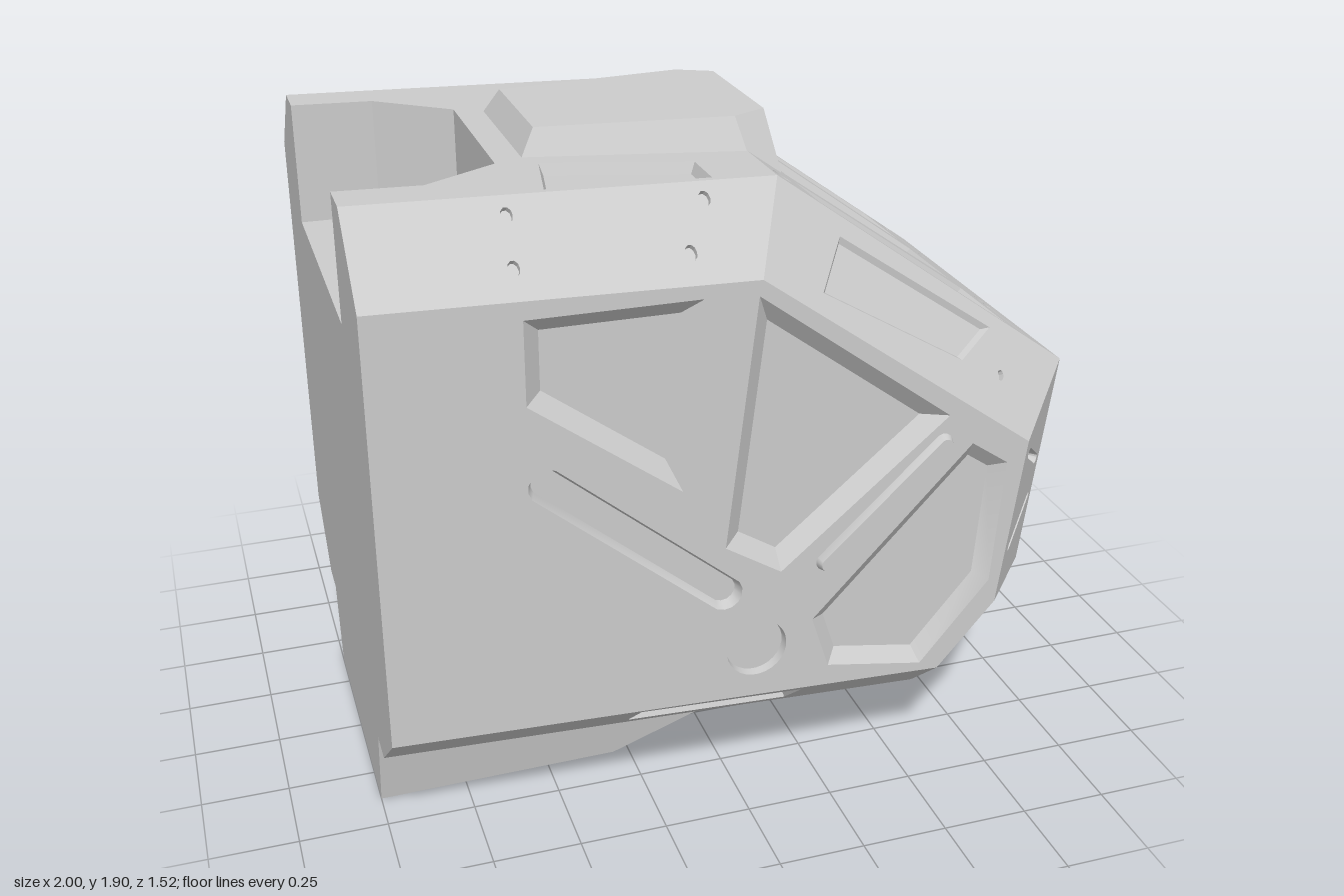
import * as THREE from 'three';
import { toCreasedNormals } from 'three/addons/utils/BufferGeometryUtils.js';

const V = (x, y, z) => new THREE.Vector3(x, y, z);
const material = new THREE.MeshStandardMaterial({ color: 0xcccccc });
const CENTRE = V(0, 1, 0);
const ccw = (p) => (THREE.ShapeUtils.area(p) < 0 ? p.slice().reverse() : p);

// Move every edge of a polygon to its left by d (a number, or one per edge)
function offset(poly, d) {
  const n = poly.length;
  const line = (i) => {
    const a = poly[i], dir = poly[(i + 1) % n].clone().sub(a).normalize();
    const k = Array.isArray(d) ? d[i] : d;
    return { o: new THREE.Vector2(a.x - dir.y * k, a.y + dir.x * k), dir };
  };
  return poly.map((_, i) => {
    const a = line((i + n - 1) % n), b = line(i);
    const c = a.dir.cross(b.dir);
    if (Math.abs(c) < 1e-4) return b.o;
    return a.o.clone().addScaledVector(a.dir, b.o.clone().sub(a.o).cross(b.dir) / c);
  });
}

// A recess (or a raised pad, when depth < 0), outlined in two world axes
const recess = (axes, pts, depth = 0.03, inset = 0.02) => ({ axes, pts, depth, inset });
const flipZ = (r) => ({ ...r, pts: r.pts.map((p) => p.map((c, i) => (r.axes[i] === 'z' ? -c : c))) });
const both = (list) => list.flatMap((r) => [r, flipZ(r)]);
const rect = (a, b, c, d) => [[a, b], [c, b], [c, d], [a, d]];

// Round-ended slot; a single point gives a circle
function slot(x1, y1, x2, y2, r, n = 7) {
  const t = Math.atan2(y2 - y1, x2 - x1), pts = [];
  [[x2, y2, t], [x1, y1, t + Math.PI]].forEach(([x, y, q]) => {
    for (let i = 0; i < n; i++) {
      const a = q - Math.PI / 2 + (Math.PI * (i + 0.5)) / n;
      pts.push([x + r * Math.cos(a), y + r * Math.sin(a)]);
    }
  });
  return pts;
}
const rivet = (axes, x, y, r = 0.016) => recess(axes, slot(x, y, x, y, r, 5), 0.015, 0.001);

// Flat plate through 3D corners, with sloped-wall recesses cut into it
function plate(group, name, corners, recesses = []) {
  const o = corners[0], n = V(0, 0, 0), mid = V(0, 0, 0);
  corners.forEach((p, i) => {
    const q = corners[(i + 1) % corners.length];
    n.add(p.clone().sub(o).cross(q.clone().sub(o)));
    mid.addScaledVector(p, 1 / corners.length);
  });
  n.normalize();
  if (n.dot(mid.sub(CENTRE)) < 0) n.negate();
  const u = corners[1].clone().sub(o).normalize();
  const v = n.clone().cross(u);
  const to2 = (p) => new THREE.Vector2(p.clone().sub(o).dot(u), p.clone().sub(o).dot(v));
  const to3 = (p, h) => o.clone().addScaledVector(u, p.x).addScaledVector(v, p.y).addScaledVector(n, h);
  const pos = [];
  const tri = (...ps) => ps.forEach((p) => pos.push(p.x, p.y, p.z));
  const fill = (outline, holes, h) => {
    const all = [outline, ...holes].flat().map((p) => to3(p, h));
    THREE.ShapeUtils.triangulateShape(outline, holes).forEach((f) => tri(...f.map((i) => all[i])));
  };
  const holes = recesses.map((r) => ccw(r.pts.map((c) => {
    const p = V(0, 0, 0);
    p[r.axes[0]] = c[0];
    p[r.axes[1]] = c[1];
    const k = ['x', 'y', 'z'].find((a) => !r.axes.includes(a));
    p[k] = n.dot(o.clone().sub(p)) / n[k];
    return to2(p);
  })));
  fill(ccw(corners.map(to2)), holes, 0);
  holes.forEach((top, j) => {
    const { depth, inset } = recesses[j], low = offset(top, inset);
    top.forEach((p, i) => {
      const k = (i + 1) % top.length;
      const a = to3(p, 0), b = to3(top[k], 0), c = to3(low[k], -depth), d = to3(low[i], -depth);
      tri(a, b, c);
      tri(a, c, d);
    });
    fill(low, [], -depth);
  });
  const g = new THREE.BufferGeometry();
  g.setAttribute('position', new THREE.Float32BufferAttribute(pos, 3));
  const mesh = new THREE.Mesh(toCreasedNormals(g, 0.5), material);
  mesh.name = name;
  group.add(mesh);
}

export function createModel() {
  const model = new THREE.Group();
  model.name = 'armouredHead';
  const W = 0.53, S = 0.74;

  // Middle outline, and the smaller outline of the flat sides
  const P = [[-1, 1.85], [0.12, 1.82], [1, 1.19], [0.92, 0.55], [0.6, 0.18], [-1, 0.25]]
    .map((p) => new THREE.Vector2(...p));
  const Q = offset(P, [-0.2, -0.225, -0.18, -0.14, -0.18, 0]);
  const at = (p, z) => V(p.x, p.y, z);

  // Cheek plates
  const cheek = [
    recess('xy', [[-0.606, 1.59], [-0.145, 1.59], [-0.2, 1.06], [-0.606, 1.36]], 0.04, 0.045),
    recess('xy', [[0, 1.58], [0.555, 1.17], [0.08, 0.77], [-0.08, 0.87]], 0.04, 0.045),
    recess('xy', slot(-0.56, 1.13, -0.08, 0.73, 0.05), 0.03, 0.012),
    recess('xy', slot(0.21, 0.78, 0.54, 1.09, 0.028), -0.022, 0.008),
    recess('xy', [[0.63, 1.075], [0.74, 1], [0.715, 0.63], [0.515, 0.39], [0.23, 0.44], [0.177, 0.6]], 0.035, 0.04),
    recess('xy', slot(0.015, 0.54, 0.015, 0.54, 0.087, 14), 0.025, 0.004),
  ];
  // Cut-outs of the chamfers, edge by edge
  const chamfer = [
    [[-0.6, 1.8], [-0.61, 1.7], [-0.09, 1.79], [-0.16, 1.69]].map((p) => rivet('xy', ...p)),
    [recess('xy', [[0.19, 1.55], [0.284, 1.65], [0.75, 1.33], [0.62, 1.29]], 0.014, 0.012), rivet('xy', 0.75, 1.22, 0.012)],
    [recess('zy', slot(0.69, 0.99, 0.57, 0.9, 0.014), 0.025, 0.002), recess('zy', slot(0.69, 0.7, 0.57, 0.78, 0.014), 0.025, 0.002)],
    [recess('zy', slot(0.64, 0.47, 0.64, 0.47, 0.062, 14), 0.04, 0.004)],
    [recess('xy', [[-0.31, 0.38], [0.17, 0.345], [0.17, 0.235], [-0.31, 0.26]], 0.035, 0.012)],
  ];
  for (const s of [1, -1]) {
    const side = s > 0 ? 'left' : 'right';
    plate(model, side + 'Cheek', Q.map((p) => at(p, s * S)), cheek);
    chamfer.forEach((cuts, i) => plate(model, side + 'Chamfer' + i,
      [at(P[i], s * W), at(P[i + 1], s * W), at(Q[i + 1], s * S), at(Q[i], s * S)],
      s > 0 ? cuts : cuts.map(flipZ)));
  }

  // Top plate with the rear notch
  const notch = [[-1, 0.41], [-0.77, 0.41], [-0.56, 0.27], [-0.56, -0.27], [-0.77, -0.41], [-1, -0.41]];
  const topY = (x) => 1.85 - (0.03 * (x + 1)) / 1.12, floorY = 1.5;
  plate(model, 'topPlate',
    [[-1, -W], [0.12, -W], [0.12, W], [-1, W], ...notch].map(([x, z]) => V(x, topY(x), z)),
    both([recess('xz', [[-0.49, 0.51], [-0.05, 0.51], [-0.05, 0.37], [-0.45, 0.29]], 0.03, 0.012)]));

  // Notch floor and walls
  const well = new THREE.Group();
  well.name = 'rearNotch';
  model.add(well);
  const floor = new THREE.Mesh(
    new THREE.ShapeGeometry(new THREE.Shape(notch.map(([x, z]) => new THREE.Vector2(x, -z)))).rotateX(-Math.PI / 2), material);
  floor.position.y = floorY;
  floor.name = 'notchFloor';
  well.add(floor);
  const wall = [];
  for (let i = 0; i < notch.length - 1; i++) {
    const [[ax, az], [bx, bz]] = [notch[i], notch[i + 1]];
    const a = [ax, topY(ax), az], b = [bx, topY(bx), bz], c = [bx, floorY, bz], d = [ax, floorY, az];
    wall.push(...a, ...b, ...c, ...a, ...c, ...d);
  }
  const wallGeo = new THREE.BufferGeometry();
  wallGeo.setAttribute('position', new THREE.Float32BufferAttribute(wall, 3));
  wallGeo.computeVertexNormals();
  const walls = new THREE.Mesh(wallGeo, material.clone());
  walls.material.side = THREE.DoubleSide;
  walls.name = 'notchWalls';
  well.add(walls);

  // Brow, face, jaw and underside
  const across = (a, b, w = W) => [at(a, w), at(b, w), at(b, -w), at(a, -w)];
  plate(model, 'browPlate', across(P[1], P[2]), [
    recess('zy', [[-0.25, 1.725], [0.25, 1.725], [0.135, 1.31], [-0.135, 1.31]], 0.035, 0.012),
    ...both([
      recess('zy', [[0.5, 1.725], [0.32, 1.725], [0.22, 1.31], [0.5, 1.31]], 0.035, 0.022),
      recess('zy', slot(0.25, 1.257, 0.48, 1.257, 0.009), 0.02, 0.002),
      rivet('zy', 0.2, 1.257, 0.011), rivet('zy', 0.44, 1.785, 0.02),
    ])]);
  plate(model, 'facePlate', across(P[2], P[3]), [
    recess('zy', [[-0.14, 1.125], [0.14, 1.125], [0.27, 0.79], [-0.27, 0.79]], 0.045, 0.022),
    recess('zy', rect(-0.28, 0.655, 0.28, 0.765), 0.012, 0.01),
    ...both([
      recess('zy', [[0.49, 1.125], [0.24, 1.125], [0.36, 0.81], [0.49, 0.83]], 0.04, 0.02),
      recess('zy', rect(0.385, 0.555, 0.505, 0.63), 0.02, 0.004),
      rivet('zy', 0.44, 0.73, 0.014),
    ])]);
  plate(model, 'jawPlate', across(P[3], P[4]), [
    recess('zy', [[-0.35, 0.54], [0.35, 0.54], [0.3, 0.19], [-0.3, 0.19]], 0.09, 0.05),
    ...both([recess('zy', rect(0.385, 0.2, 0.505, 0.545), 0.02, 0.004)])]);
  plate(model, 'underside', across(P[4], P[5]));

  // Jaw bars
  [[0.7, 0.345], [0.625, 0.245]].forEach(([x, y], i) => {
    const bar = new THREE.Mesh(new THREE.BoxGeometry(0.18, 0.05, 0.57), material);
    bar.position.set(x, y, 0);
    bar.rotation.z = 0.15;
    bar.name = 'jawBar' + i;
    model.add(bar);
  });

  // Neck block below, flaring upward
  const neck = [[-1, 0], [-0.3, 0.01], [0.22, 0.23], [-1, 0.28]].map((p) => new THREE.Vector2(...p));
  const nz = (p, s) => at(p, s * (0.38 + 0.2 * p.y));
  const neckBand = (i) => [nz(neck[i], 1), nz(neck[i + 1], 1), nz(neck[i + 1], -1), nz(neck[i], -1)];
  for (const s of [1, -1]) plate(model, 'neckSide', neck.map((p) => nz(p, s)));
  plate(model, 'neckBottom', neckBand(0));
  plate(model, 'neckFront', neckBand(1), [recess('xz', rect(-0.23, -0.11, 0.14, 0.11), 0.03, 0.005)]);

  // Flat back with the notch opening
  const half = [[0.41, floorY], [0.41, 1.85], [W, 1.85], [S, Q[0].y], [S, Q[5].y], [W, 0.25], [0.43, 0.25], [0.38, 0]];
  plate(model, 'backPlate', [...half, ...half.map(([z, y]) => [-z, y]).reverse()].map(([z, y]) => V(-1, y, z)));

  // Crown block with the front slot
  const crown = [[-0.44, 0.2], [0.1, 0.26], [0.2, 0.21]].map(([x, z]) => V(x, 1.905, z));
  const base = [[-0.55, 0.29], [0.14, 0.36], [0.225, 0.31]].map(([x, z]) => V(x, 1.72, z));
  const ring = (l) => [...l, ...l.slice().reverse().map((p) => V(p.x, p.y, -p.z))];
  const hi = ring(crown), lo = ring(base);
  plate(model, 'crownTop', hi);
  hi.forEach((p, i) => {
    const k = (i + 1) % hi.length;
    plate(model, i === 2 ? 'crownFront' : 'crownSide', [p, hi[k], lo[k], lo[i]],
      i === 2 ? [recess('zy', rect(-0.19, 1.795, 0.19, 1.865), 0.04, 0.004)] : []);
  });
  return model;
}
